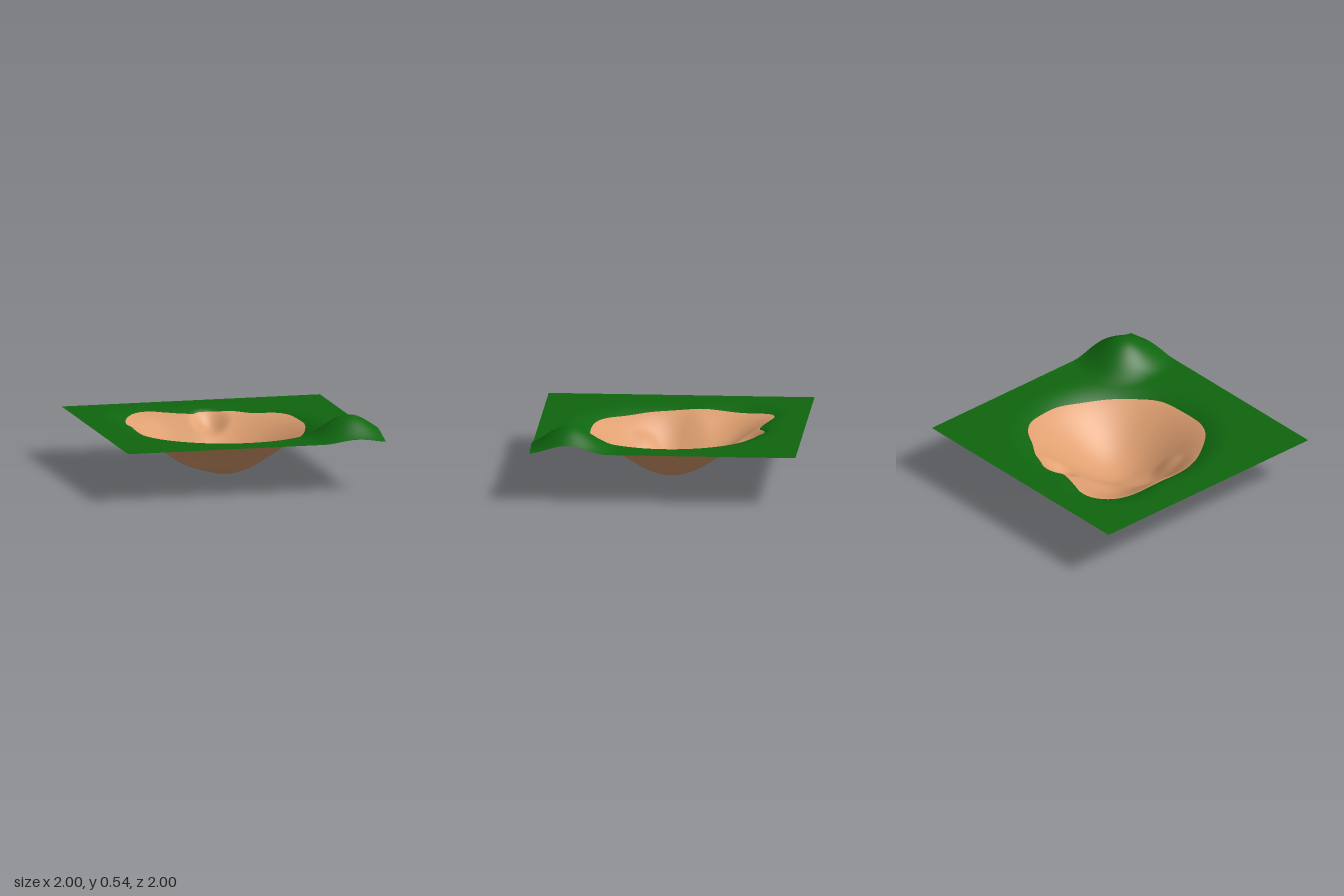
import * as THREE from 'three';

const GROUND = 0.372;
const SEGMENTS = 320; // multiple of 8, so the square's corners are met

// Smooth sculpting dabs: centre x, centre z, radius, height change
const DABS = [
  [0, 0, 0.82, -0.372],       // main basin
  [0.78, 0.72, 0.38, 0.168],  // corner hill
  [-0.42, -0.45, 0.41, -0.1], // back lobe
  [0.04, -0.58, 0.17, -0.065],// small pit
  [-0.4, 0.02, 0.3, -0.045],  // side hollow
  [-0.31, 0.2, 0.14, 0.02],   // little ridge
];

// Outline of the bare earth, as x, z
const OUTLINE = [
  [0.64, -0.06], [0.63, -0.22], [0.59, -0.37], [0.51, -0.47], [0.37, -0.55], [0.23, -0.64],
  [0.14, -0.67], [0.08, -0.695], [0, -0.695], [-0.04, -0.68], [-0.08, -0.655], [-0.14, -0.66],
  [-0.27, -0.7], [-0.4, -0.74], [-0.5, -0.72], [-0.58, -0.64], [-0.62, -0.55], [-0.66, -0.34],
  [-0.66, 0], [-0.61, 0.2], [-0.5, 0.38], [-0.38, 0.52], [-0.25, 0.59], [-0.02, 0.615],
  [0.2, 0.585], [0.37, 0.47], [0.5, 0.32], [0.59, 0.13],
];

function height(x, z) {
  let y = GROUND;
  for (const [cx, cz, radius, amount] of DABS) {
    const d = Math.hypot(x - cx, z - cz) / radius;
    if (d < 1) y += amount * 0.5 * (1 + Math.cos(Math.PI * d));
  }
  return Math.max(y, 0);
}

// Outline radius for each spoke
function outlineRadii() {
  const curve = new THREE.CatmullRomCurve3(
    OUTLINE.map(([x, z]) => new THREE.Vector3(x, 0, z)), true);
  const radii = new Array(SEGMENTS).fill(0);
  const best = new Array(SEGMENTS).fill(Infinity);
  for (const p of curve.getPoints(6000)) {
    const a = (Math.atan2(p.z, p.x) / (Math.PI * 2) + 1) * SEGMENTS;
    const i = Math.round(a) % SEGMENTS;
    const miss = Math.abs(a - Math.round(a));
    if (miss < best[i]) {
      best[i] = miss;
      radii[i] = Math.hypot(p.x, p.z);
    }
  }
  return radii;
}

// Terrain ring between two radii per spoke, with normals taken from the slope
function terrain(inner, outer, rings) {
  const positions = [], normals = [], index = [];
  const n = new THREE.Vector3(), e = 0.004;
  for (let j = 0; j <= rings; j++) {
    for (let i = 0; i <= SEGMENTS; i++) {
      const k = i % SEGMENTS;
      const a = (k / SEGMENTS) * Math.PI * 2;
      const r = THREE.MathUtils.lerp(inner(k, a), outer(k, a), j / rings);
      const x = r * Math.cos(a), z = r * Math.sin(a);
      positions.push(x, height(x, z), z);
      n.set(height(x - e, z) - height(x + e, z), 2 * e,
        height(x, z - e) - height(x, z + e)).normalize();
      normals.push(n.x, n.y, n.z);
      if (j < rings && i < SEGMENTS) {
        const p = j * (SEGMENTS + 1) + i, q = p + SEGMENTS + 1;
        index.push(p, p + 1, q, p + 1, q + 1, q);
      }
    }
  }
  const geometry = new THREE.BufferGeometry();
  geometry.setAttribute('position', new THREE.Float32BufferAttribute(positions, 3));
  geometry.setAttribute('normal', new THREE.Float32BufferAttribute(normals, 3));
  geometry.setIndex(index);
  return geometry;
}

export function createModel() {
  const model = new THREE.Group();
  model.name = 'terrain';

  const grass = new THREE.MeshStandardMaterial({ color: 0x0f660f, side: THREE.DoubleSide });
  grass.name = 'grass green';
  const earth = new THREE.MeshStandardMaterial({ color: 0xdf9f70, side: THREE.DoubleSide });
  earth.name = 'earth tan';

  const radii = outlineRadii();
  const edge = (k) => radii[k];
  const square = (k, a) => 1 / Math.max(Math.abs(Math.cos(a)), Math.abs(Math.sin(a)));

  // Bare earth basin
  const basin = new THREE.Mesh(terrain(() => 0, edge, 60), earth);
  basin.name = 'basin';

  // Grass field out to the square edge
  const field = new THREE.Mesh(terrain(edge, square, 50), grass);
  field.name = 'grassField';

  model.add(basin, field);
  return model;
}
